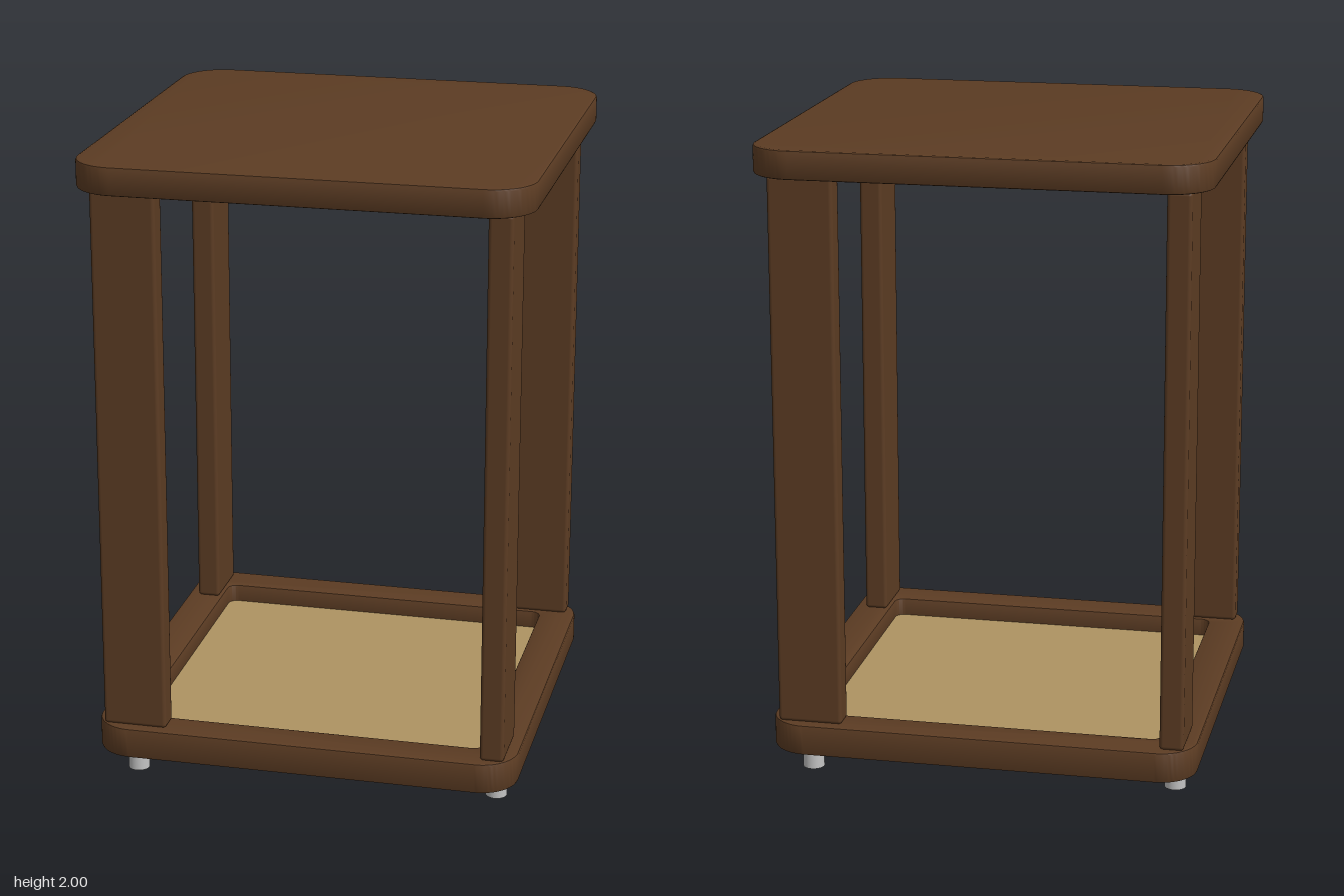
import * as THREE from 'three';
import { toCreasedNormals } from 'three/addons/utils/BufferGeometryUtils.js';
import { RoundedBoxGeometry } from 'three/addons/geometries/RoundedBoxGeometry.js';

const material = (name, color) => {
  const m = new THREE.MeshStandardMaterial({ color });
  m.name = name;
  return m;
};

// Square outline with rounded corners, half-width a and corner radius r
function roundedSquare(target, a, r) {
  const c = a - r;
  target.absarc(c, c, r, 0, Math.PI / 2);
  target.absarc(-c, c, r, Math.PI / 2, Math.PI);
  target.absarc(-c, -c, r, Math.PI, Math.PI * 1.5);
  target.absarc(c, -c, r, Math.PI * 1.5, Math.PI * 2);
  target.closePath();
  return target;
}

// Horizontal slab from y0 to y1 with softened edges and an optional opening
function slab(a, r, y0, y1, hole) {
  const bevel = 0.008;
  const shape = roundedSquare(new THREE.Shape(), a - bevel, r - bevel);
  if (hole) shape.holes.push(roundedSquare(new THREE.Path(), hole + bevel, 0.03 + bevel));
  const geo = new THREE.ExtrudeGeometry(shape, {
    depth: y1 - y0 - 2 * bevel, bevelEnabled: true, bevelSize: bevel,
    bevelThickness: bevel, bevelSegments: 2, curveSegments: 12,
  });
  geo.rotateX(-Math.PI / 2).translate(0, y0 + bevel, 0);
  return toCreasedNormals(geo, 0.6);
}

export function createModel() {
  const group = new THREE.Group();
  group.name = 'sideTable';
  const wood = material('darkWood', 0x5c3c23);
  const tan = material('tanPanel', 0xae9362);
  const metal = material('lightMetal', 0xc4c4c4);

  const add = (parent, name, geo, mat, x = 0, y = 0, z = 0) => {
    const mesh = new THREE.Mesh(geo, mat);
    mesh.name = name;
    mesh.position.set(x, y, z);
    parent.add(mesh);
  };

  // Top, base frame and the recessed panel inside it
  add(group, 'tableTop', slab(0.705, 0.14, 1.91, 2), wood);
  add(group, 'baseFrame', slab(0.68, 0.12, 0.06, 0.16, 0.56), wood);
  add(group, 'basePanel', new THREE.BoxGeometry(1.125, 0.015, 1.125), tan, 0, 0.0925, 0);

  // Plank legs in a pinwheel, each with a foot beneath it
  const legGeo = new RoundedBoxGeometry(0.076, 1.752, 0.205, 3, 0.012);
  const footGeo = new THREE.CylinderGeometry(0.034, 0.034, 0.062, 24);
  for (let i = 0; i < 4; i++) {
    const corner = new THREE.Group();
    corner.name = 'corner' + (i + 1);
    corner.rotation.y = i * Math.PI / 2;
    add(corner, 'leg', legGeo, wood, 0.608, 1.034, 0.546);
    add(corner, 'foot', footGeo, metal, 0.608, 0.031, 0.546);
    group.add(corner);
  }
  return group;
}
